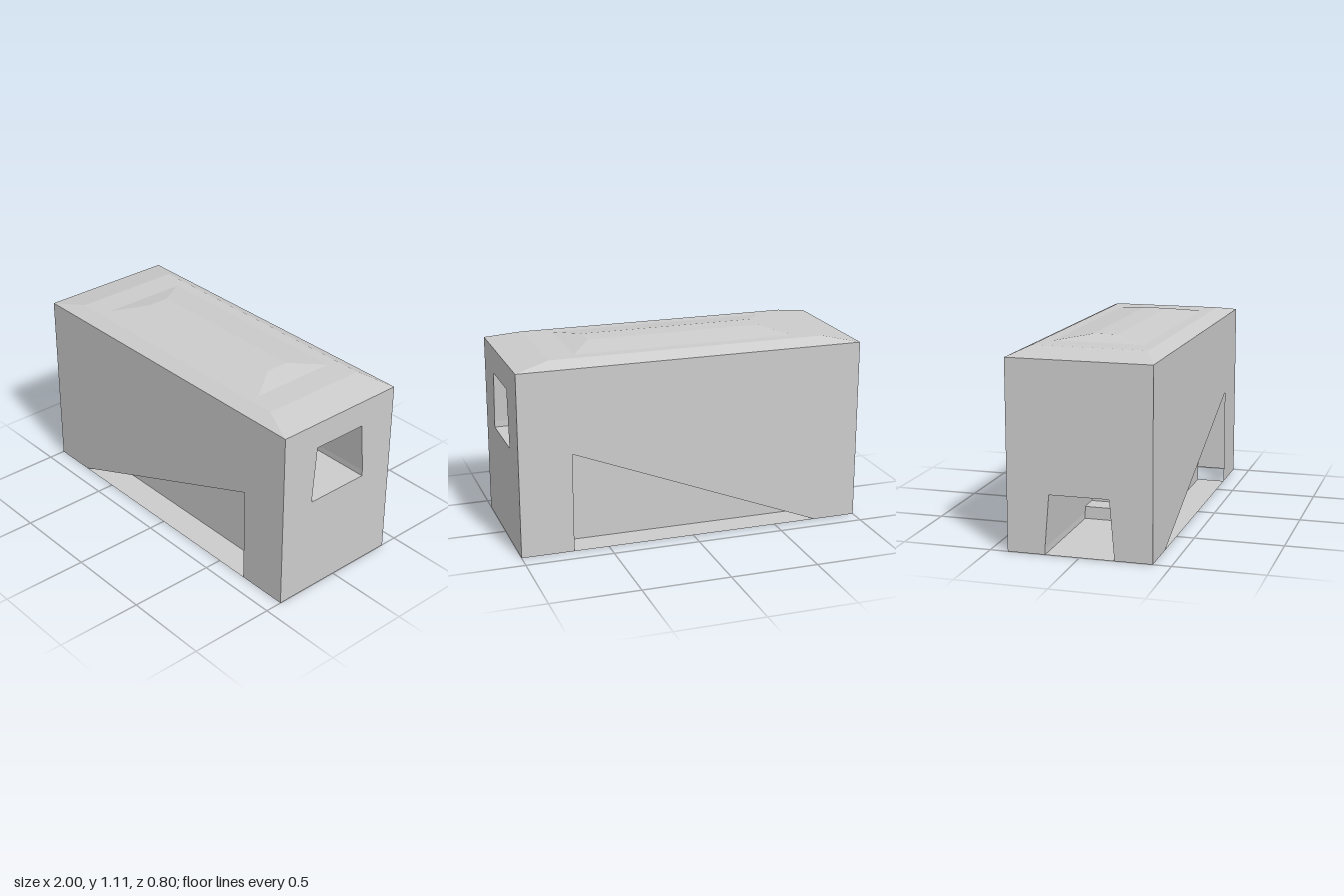
import * as THREE from 'three';

const material = new THREE.MeshStandardMaterial({ color: 0xcccccc, flatShading: true, side: THREE.DoubleSide });

const RAMP_START = -0.31, RAMP_END = 0.7, RISE = 0.57, STEPS = 8;
const INNER = 0.235, OUTER = 0.4, WALL_TOP = 1.05;

function add(group, name, geometry) {
  const mesh = new THREE.Mesh(geometry, material);
  mesh.name = name;
  group.add(mesh);
  return mesh;
}

// Skin between successive cross-sections with equal point counts
function loft(sections, closed = false) {
  const positions = [];
  for (let i = 0; i < sections.length - 1; i++) {
    const a = sections[i], b = sections[i + 1], n = a.length;
    for (let j = 0; j < (closed ? n : n - 1); j++) {
      const k = (j + 1) % n;
      for (const p of [a[j], a[k], b[k], a[j], b[k], b[j]]) positions.push(...p);
    }
  }
  const geometry = new THREE.BufferGeometry();
  geometry.setAttribute('position', new THREE.Float32BufferAttribute(positions, 3));
  geometry.computeVertexNormals();
  return geometry;
}

// Band of fixed z range following a path of [x, y] points
const ribbon = (path, z0, z1) => loft(path.map(([x, y]) => [[x, y, z0], [x, y, z1]]));

const shapeOf = (points) => new THREE.Shape(points.map(([x, y]) => new THREE.Vector2(x, y)));

// Outline of the passage, floor corner to floor corner, as [z, y]
const passage = [[-0.19, 0], [-0.19, 0.035], [-0.165, 0.33], [0.165, 0.33], [0.19, 0.035], [0.19, 0]];

export function createModel() {
  const model = new THREE.Group();
  model.name = 'stairBuilding';

  // Long walls, each with a triangular recess below the stairs
  const tip = [-0.75, 0], apex = [RAMP_END, RISE], foot = [RAMP_END, 0];
  const longWall = shapeOf([[-1, 0], tip, apex, foot, [1, 0], [1, WALL_TOP], [-1, WALL_TOP]]);
  for (const side of [1, -1]) {
    const recess = new THREE.Group();
    recess.name = side > 0 ? 'frontSide' : 'backSide';
    add(recess, 'longWall', new THREE.ShapeGeometry(longWall)).position.z = side * OUTER;
    add(recess, 'recessWall', new THREE.ShapeGeometry(shapeOf([tip, foot, apex]))).position.z = side * INNER;
    add(recess, 'recessSoffit', ribbon([tip, apex], side * INNER, side * OUTER));
    add(recess, 'recessFloor', ribbon([[RAMP_START, 0], foot], side * INNER, side * OUTER));
    model.add(recess);
  }

  // Left part of the ground floor
  add(model, 'groundFloor', ribbon([[-1, 0], [RAMP_START, 0]], -OUTER, OUTER));

  // Right end wall with the raised opening
  const upperEnd = shapeOf([[-OUTER, 0], [OUTER, 0], [OUTER, WALL_TOP], [-OUTER, WALL_TOP]]);
  upperEnd.holes.push(new THREE.Path(passage.map(([z, y]) => new THREE.Vector2(z, y + RISE))));
  add(model, 'upperEndWall', new THREE.ShapeGeometry(upperEnd).rotateY(Math.PI / 2)).position.x = 1;

  // Left end wall with the doorway at ground level
  const lowerEnd = shapeOf([[-OUTER, 0], ...passage, [OUTER, 0], [OUTER, WALL_TOP], [-OUTER, WALL_TOP]]);
  add(model, 'lowerEndWall', new THREE.ShapeGeometry(lowerEnd).rotateY(-Math.PI / 2)).position.x = -1;

  // Passage walls and ceiling, level at both ends and sloped over the stairs
  const route = [[-1, 0], [RAMP_START, 0], [RAMP_END, RISE], [1, RISE]];
  add(model, 'passageWalls', loft(route.map(([x, base]) => passage.map(([z, y]) => [x, base + y, z]))));

  // Thin stairs with the upper landing
  const stairs = [[RAMP_START, 0]];
  for (let i = 0; i < STEPS; i++) {
    const x = RAMP_START + (i / STEPS) * (RAMP_END - RAMP_START);
    const y = ((i + 1) / STEPS) * RISE;
    stairs.push([x, y], [x + (RAMP_END - RAMP_START) / STEPS, y]);
  }
  stairs.push([1, RISE]);
  add(model, 'stairs', ribbon(stairs, -0.22, 0.22));

  // Stepped hip roof
  const ring = (x, y, z) => [[-x, y, z], [x, y, z], [x, y, -z], [-x, y, -z]];
  add(model, 'roof', loft([
    ring(1, WALL_TOP, OUTER), ring(0.8, 1.086, 0.32), ring(0.64, 1.086, 0.255),
    ring(0.51, 1.112, 0.067), ring(0, 1.112, 0),
  ], true));

  return model;
}
